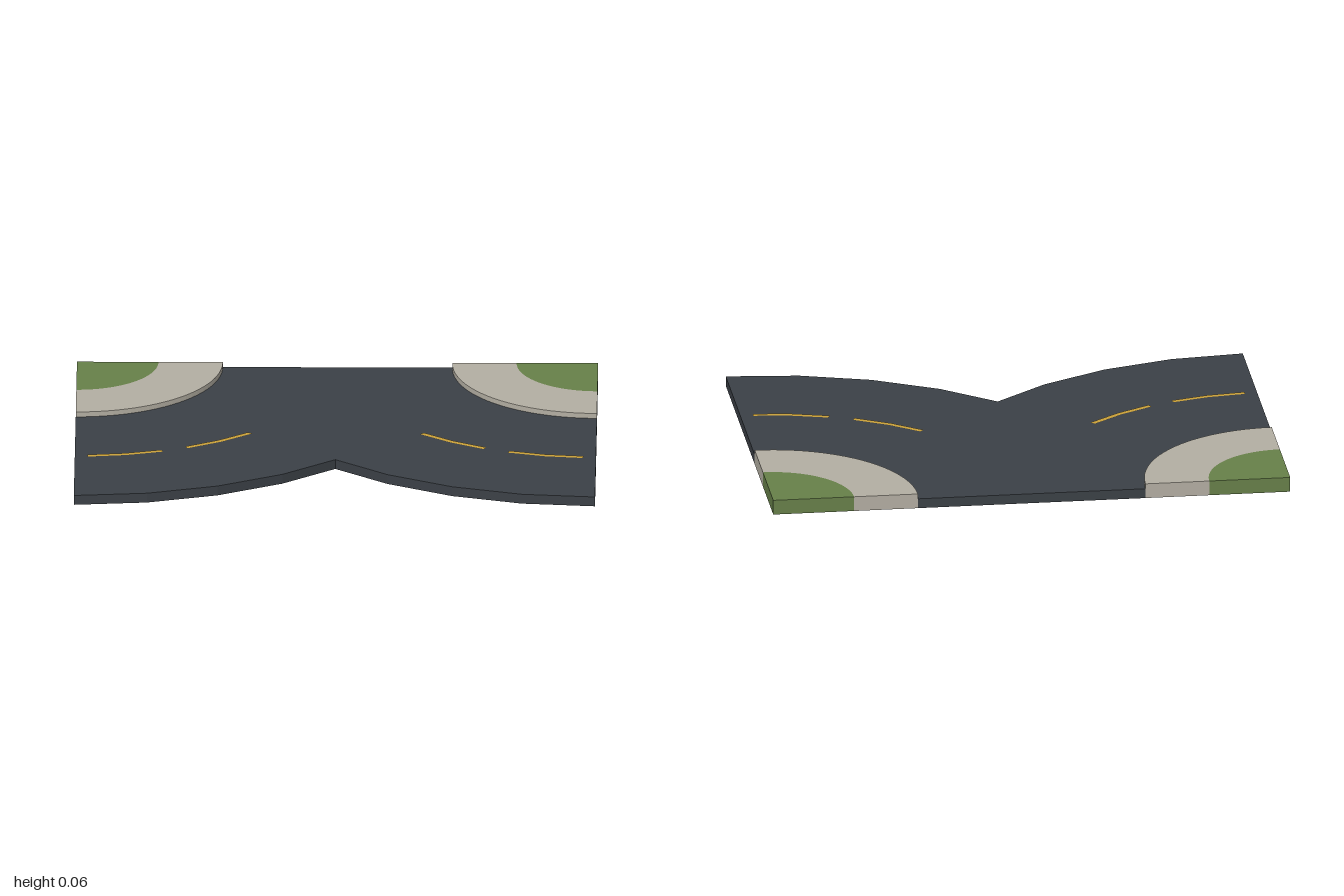
import * as THREE from 'three';

const BACK = -0.718, OUTER = 1.436, KERB = 0.56, LAWN = 0.313;
const ROAD_H = 0.038, KERB_H = 0.058;

// Points [x, z] on a quarter arc about the back corner (1, BACK); 0 degrees points to +z
function arc(r, from, to, n) {
  return Array.from({ length: n + 1 }, (_, i) => {
    const a = THREE.MathUtils.degToRad(from + (to - from) * i / n);
    return [1 - r * Math.sin(a), BACK + r * Math.cos(a)];
  });
}

// Mirrored copy of a path, reversed so that it keeps facing outwards
const mirror = pts => pts.map(([x, z]) => [-x, z]).reverse();

// Horizontal surface with the given outline
function plate(pts, y) {
  const shape = new THREE.Shape(pts.map(([x, z]) => new THREE.Vector2(x, -z)));
  return new THREE.ShapeGeometry(shape).rotateX(-Math.PI / 2).translate(0, y, 0);
}

// Upright strip along a path, from the ground to height h
function wall(pts, h) {
  const pos = [];
  for (let i = 0; i < pts.length - 1; i++) {
    const [ax, az] = pts[i], [bx, bz] = pts[i + 1];
    pos.push(ax, 0, az, bx, 0, bz, bx, h, bz, ax, 0, az, bx, h, bz, ax, h, az);
  }
  const g = new THREE.BufferGeometry();
  g.setAttribute('position', new THREE.Float32BufferAttribute(pos, 3));
  g.computeVertexNormals();
  return g;
}

function material(name, color) {
  const m = new THREE.MeshStandardMaterial({ color, side: THREE.DoubleSide });
  m.name = name;
  return m;
}

export function createModel() {
  const root = new THREE.Group();
  root.name = 'roadJunction';
  const asphalt = material('asphalt', 0x3b4046);
  const paving = material('paving', 0xb3aea2);
  const grass = material('grass', 0x678049);
  const paint = material('yellowPaint', 0xc9a03a);
  const add = (name, geometry, mat) => {
    const mesh = new THREE.Mesh(geometry, mat);
    mesh.name = name;
    root.add(mesh);
  };

  // Road surface: two quarter bends that merge in the middle
  const bend = arc(OUTER, 0, 90, 8);
  const kerb = arc(KERB, 0, 90, 24);
  const lawn = arc(LAWN, 0, 90, 24);
  const half = [...kerb.slice().reverse(), ...bend.filter(p => p[0] > 0)];
  add('roadSurface', plate([...half, [0, 0.31], ...mirror(half)], ROAD_H), asphalt);
  add('roadBackEdge', wall([[1 - KERB, BACK], [KERB - 1, BACK]], ROAD_H), asphalt);

  for (const side of ['left', 'right']) {
    const place = pts => (side === 'left' ? pts : mirror(pts));
    const corner = [1, BACK];

    // Road edges; each curved edge runs on underneath the other bend
    add(side + 'RoadCurvedEdge', wall(place(bend.slice().reverse()), ROAD_H), asphalt);
    add(side + 'RoadEndEdge', wall(place([bend[0], kerb[0]]), ROAD_H), asphalt);

    // Pavement ring
    add(side + 'PavementTop', plate(place([...kerb, ...lawn.slice().reverse()]), KERB_H), paving);
    add(side + 'PavementKerb', wall(place(kerb.slice().reverse()), KERB_H), paving);
    add(side + 'PavementSideEdge', wall(place([kerb[0], lawn[0]]), KERB_H), paving);
    add(side + 'PavementBackEdge', wall(place([lawn[24], kerb[24]]), KERB_H), paving);

    // Grass corner
    add(side + 'GrassTop', plate(place([corner, ...lawn]), KERB_H), grass);
    add(side + 'GrassEdge', wall(place([lawn[0], corner, lawn[24]]), KERB_H), grass);

    // Dashed centre line
    for (const start of [2.8, 25.3]) {
      const dash = [...arc(1.009, start, start + 16.9, 2), ...arc(0.987, start + 16.9, start, 2)];
      add(side + 'LaneDash', plate(place(dash), ROAD_H + 0.002), paint);
    }
  }
  return root;
}
